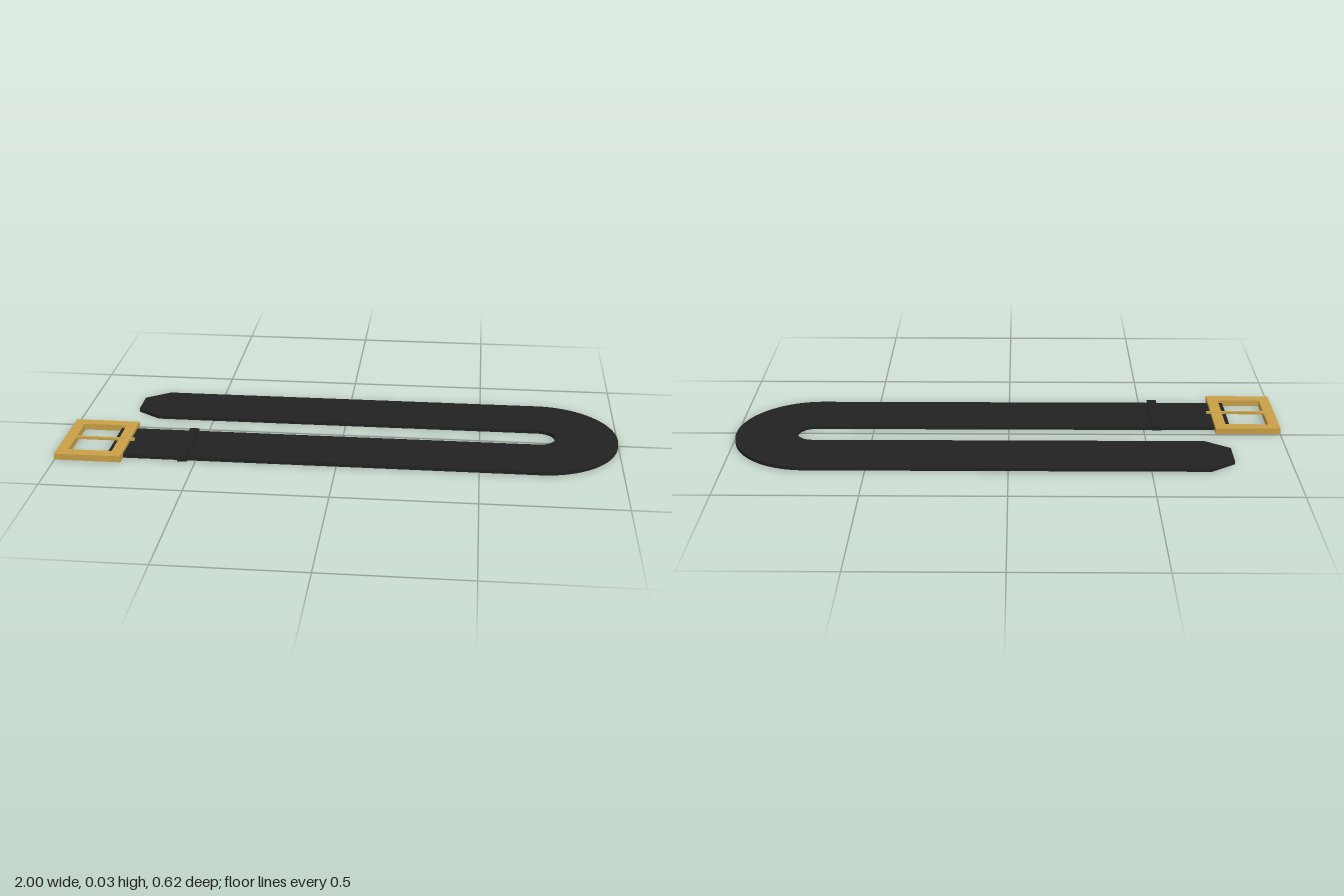
import * as THREE from 'three';

const leather = new THREE.MeshStandardMaterial({ color: 0x222222 });
leather.name = 'black leather';
const brass = new THREE.MeshStandardMaterial({ color: 0xc9a047 });
brass.name = 'brass';

// Extrudes a plan outline, drawn as (x, -z), upward from y0 to y1
function slab(name, shape, y0, y1, material) {
  const geometry = new THREE.ExtrudeGeometry(shape, {
    depth: y1 - y0, bevelEnabled: false, curveSegments: 32,
  });
  geometry.rotateX(-Math.PI / 2);
  geometry.translate(0, y0, 0);
  const mesh = new THREE.Mesh(geometry, material);
  mesh.name = name;
  return mesh;
}

function box(name, [x0, x1], [y0, y1], [z0, z1], material) {
  const mesh = new THREE.Mesh(new THREE.BoxGeometry(x1 - x0, y1 - y0, z1 - z0), material);
  mesh.position.set((x0 + x1) / 2, (y0 + y1) / 2, (z0 + z1) / 2);
  mesh.name = name;
  return mesh;
}

function rectangle(target, x0, x1, z0, z1) {
  target.moveTo(x0, -z1);
  target.lineTo(x1, -z1);
  target.lineTo(x1, -z0);
  target.lineTo(x0, -z0);
  target.closePath();
  return target;
}

export function createModel() {
  const belt = new THREE.Group();
  belt.name = 'belt';

  // U-shaped strap with a clipped tip on the rear arm
  const bendX = 0.713, bendZ = -0.022, outer = 0.287, inner = 0.062;
  const strap = new THREE.Shape();
  strap.moveTo(-0.82, -bendZ - outer);
  strap.lineTo(bendX, -bendZ - outer);
  strap.absarc(bendX, -bendZ, outer, -Math.PI / 2, Math.PI / 2, false);
  strap.lineTo(-0.71, -bendZ + outer);
  strap.lineTo(-0.797, 0.248);
  strap.lineTo(-0.797, 0.142);
  strap.lineTo(-0.71, -bendZ + inner);
  strap.lineTo(bendX, -bendZ + inner);
  strap.absarc(bendX, -bendZ, inner, Math.PI / 2, -Math.PI / 2, true);
  strap.lineTo(-0.82, -bendZ - inner);
  strap.closePath();
  belt.add(slab('strap', strap, 0, 0.013, leather));

  // Keeper loop around the front arm
  belt.add(box('keeperLoop', [-0.565, -0.53], [0.0005, 0.02], [0.033, 0.277], leather));

  // Square buckle frame and its prong
  const buckle = new THREE.Group();
  buckle.name = 'buckle';
  const frame = rectangle(new THREE.Shape(), -1, -0.762, 0.004, 0.306);
  frame.holes.push(rectangle(new THREE.Path(), -0.96, -0.802, 0.042, 0.264));
  buckle.add(slab('buckleFrame', frame, 0.001, 0.024, brass));
  buckle.add(box('prong', [-0.965, -0.745], [0.017, 0.0255], [0.149, 0.161], brass));
  belt.add(buckle);

  return belt;
}
